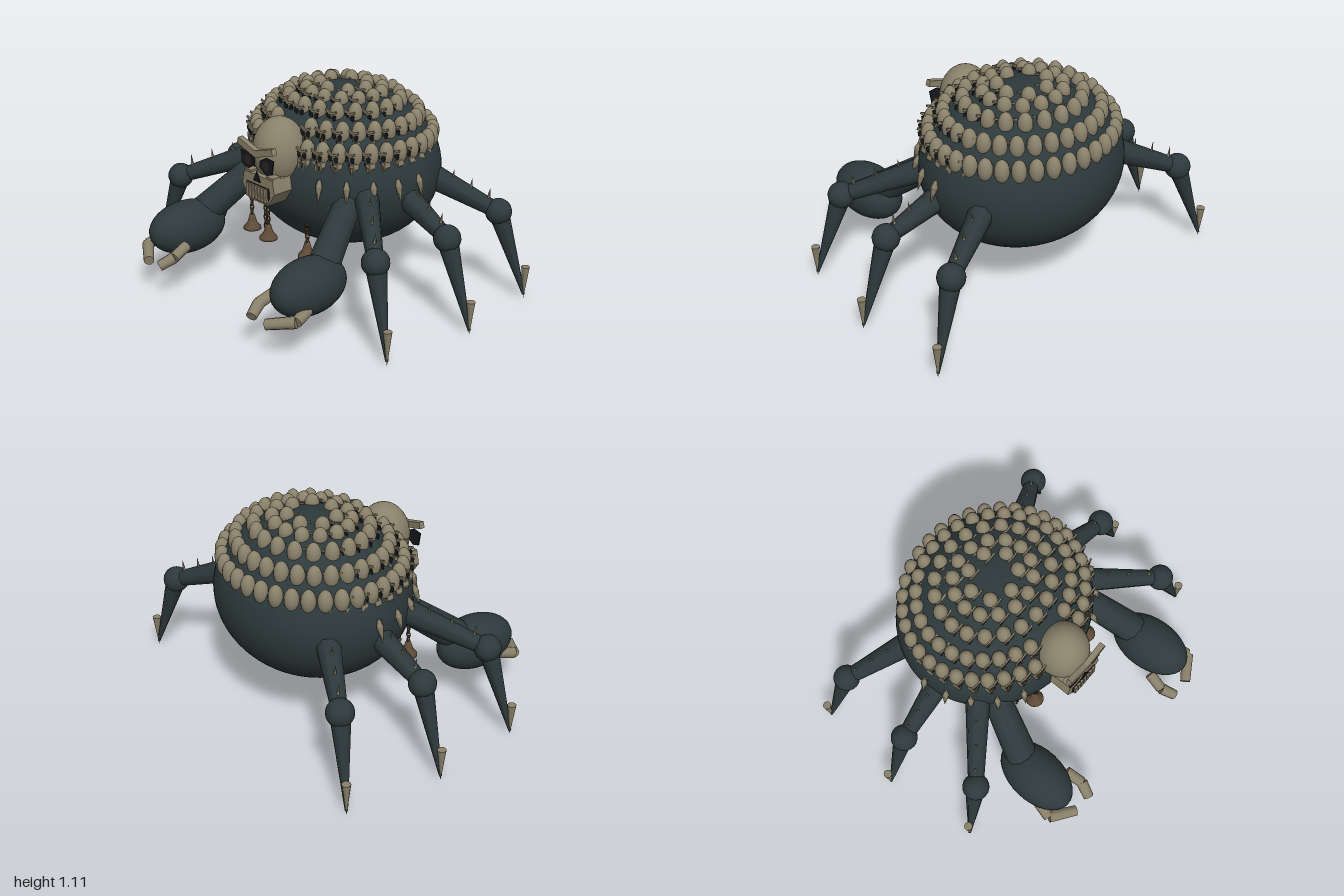
import * as THREE from 'three';

const mat = (name, color, extra = {}) => Object.assign(new THREE.MeshStandardMaterial({ color, ...extra }), { name });
const hide = mat('darkHide', 0x2d393b);
const hideFlat = hide;
const bone = mat('bone', 0x8a816a);
const socket = mat('socketBlack', 0x17181a, { side: THREE.DoubleSide });
const ember = mat('eyeBrown', 0x2e2322, { side: THREE.DoubleSide });
const bronze = mat('bronze', 0x5f4c38);

const V = (x, y, z) => new THREE.Vector3(x, y, z);
const UP = V(0, 1, 0);

function add(parent, name, geo, material, x = 0, y = 0, z = 0) {
  const m = new THREE.Mesh(geo, material);
  m.name = name;
  m.position.set(x, y, z);
  parent.add(m);
  return m;
}

// Tapered rod from a (radius ra) to b (radius rb)
function rod(parent, name, a, b, ra, rb, material, sides = 10) {
  const d = b.clone().sub(a);
  const m = add(parent, name, new THREE.CylinderGeometry(rb, ra, d.length(), sides), material);
  m.position.copy(a).addScaledVector(d, 0.5);
  m.quaternion.setFromUnitVectors(UP, d.normalize());
  return m;
}

function ellipsoid(rx, ry, rz, w = 32, h = 20) {
  return new THREE.SphereGeometry(1, w, h).scale(rx, ry, rz);
}

function plate(points, depth) {
  const s = new THREE.Shape(points.map(([x, y]) => new THREE.Vector2(x, y)));
  return new THREE.ExtrudeGeometry(s, { depth, bevelEnabled: false });
}

// Shared skull pieces
const craniumBig = ellipsoid(0.14, 0.18, 0.14, 32, 22);
const craniumSmall = ellipsoid(0.14, 0.18, 0.14, 14, 10);
const jawGeo = plate([[-0.11, -0.1], [-0.125, -0.17], [-0.075, -0.245], [0.075, -0.245], [0.125, -0.17], [0.11, -0.1]], 0.13);
const mouthGeo = plate([[-0.085, -0.15], [-0.09, -0.2], [-0.07, -0.235], [0.07, -0.235], [0.09, -0.2], [0.085, -0.15]], 0.006);
const noseGeo = plate([[-0.027, -0.13], [0.027, -0.13], [0, -0.075]], 0.006);
const toothGeo = new THREE.BoxGeometry(0.019, 0.075, 0.02);
const eyeGeo = plate([[-0.058, 0.03], [-0.045, -0.045], [0, -0.06], [0.048, -0.03], [0.05, 0.005], [0, 0.035]], 0.006);
const pupilGeo = new THREE.CircleGeometry(0.027, 10);
const browGeo = new THREE.BoxGeometry(0.145, 0.035, 0.03);
const cheekGeo = new THREE.BoxGeometry(0.05, 0.05, 0.05);

function skull(name, big) {
  const g = new THREE.Group();
  g.name = name;
  add(g, 'cranium', big ? craniumBig : craniumSmall, bone);
  add(g, 'jaw', jawGeo, bone, 0, 0, 0.015);
  add(g, 'mouth', mouthGeo, socket, 0, 0, 0.144);
  add(g, 'nose', noseGeo, socket, 0, 0, 0.15);
  const teeth = big ? 7 : 4;
  for (let i = 0; i < teeth; i++) {
    const t = add(g, 'tooth', toothGeo, bone, (i / (teeth - 1) - 0.5) * 0.14, -0.19, 0.15);
    if (!big) t.scale.x = 1.3;
  }
  for (const s of [-1, 1]) {
    const eye = add(g, 'eyeSocket', eyeGeo, socket, s * 0.07, -0.02, 0.145);
    eye.scale.x = -s;
    if (big) add(g, 'pupil', pupilGeo, ember, s * 0.07, -0.03, 0.153);
    add(g, 'brow', browGeo, bone, s * 0.064, 0.04, 0.15).rotation.z = s * 0.3;
    add(g, 'cheek', cheekGeo, bone, s * 0.085, -0.115, 0.115);
  }
  return g;
}

const C = V(0, 0.645, -0.25), R = V(0.55, 0.43, 0.495);

// Point on the body surface at height y and angle a (0 = front)
function onBody(y, a, grow = 0) {
  const k = Math.sqrt(Math.max(0, 1 - ((y - C.y) / R.y) ** 2));
  return V(Math.sin(a) * (R.x * k + grow), y, C.z + Math.cos(a) * (R.z * k + grow));
}

function addLeg(root, side, hip, knee, foot) {
  const g = new THREE.Group();
  g.name = side > 0 ? 'leftLeg' : 'rightLeg';
  const [h, k, f] = [hip, knee, foot].map(([x, y, z]) => V(side * x, y, z));
  rod(g, 'thigh', h, k, 0.068, 0.04, hideFlat, 8);
  add(g, 'knee', ellipsoid(0.07, 0.07, 0.07, 20, 14), hide, k.x, k.y, k.z);
  rod(g, 'shin', k, f.clone().setY(0.02), 0.055, 0.008, hideFlat, 8);
  add(g, 'footClaw', new THREE.CylinderGeometry(0.023, 0.001, 0.18, 10), bone, f.x, 0.09, f.z);
  // Small spikes along the thigh
  for (const t of [0.35, 0.6, 0.85]) {
    const p = h.clone().lerp(k, t);
    rod(g, 'thighSpike', p.clone().setY(p.y + 0.03), V(p.x + side * 0.01, p.y + 0.1, p.z), 0.011, 0.001, bone, 5);
  }
  root.add(g);
}

function addClawArm(root, s) {
  const g = new THREE.Group();
  g.name = s > 0 ? 'leftClawArm' : 'rightClawArm';
  rod(g, 'upperArm', V(s * 0.32, 0.66, -0.03), V(s * 0.48, 0.35, 0.36), 0.07, 0.085, hideFlat, 10);
  const fist = add(g, 'fist', ellipsoid(0.14, 0.143, 0.228), hide, s * 0.485, 0.303, 0.447);
  fist.rotation.y = s * 0.06;
  // Bone fingers, two joints each
  const fingers = [
    [[0.58, 0.24, 0.54], [0.6, 0.215, 0.63], [0.475, 0.185, 0.715]],
    [[0.36, 0.26, 0.55], [0.345, 0.225, 0.645], [0.375, 0.19, 0.72]],
  ];
  for (const pts of fingers) {
    const [a, b, c] = pts.map(([x, y, z]) => V(s * x, y, z));
    rod(g, 'fingerBase', a, b, 0.03, 0.03, bone, 9);
    rod(g, 'fingerTip', b, c, 0.032, 0.028, bone, 9);
  }
  root.add(g);
}

const linkGeo = new THREE.TorusGeometry(0.013, 0.0045, 5, 10).scale(0.8, 1.35, 1);
const bellProfile = [[0, 0.085], [0.014, 0.083], [0.02, 0.06], [0.028, 0.035], [0.048, 0.012], [0.05, 0], [0.04, 0], [0.02, 0.03], [0, 0.04]];
const bellGeo = new THREE.LatheGeometry(bellProfile.map(([x, y]) => new THREE.Vector2(x, y)).reverse(), 14);

function addChain(root, x, z, top, bottom, bell) {
  const g = new THREE.Group();
  g.name = bell ? 'bellChain' : 'chain';
  let i = 0;
  for (let y = top; y > bottom; y -= 0.026) add(g, 'link', linkGeo, bronze, x, y, z).rotation.y = (i++ % 2) * Math.PI / 2 + 0.4;
  if (bell) {
    add(g, 'bell', bellGeo, bronze, x, bottom - 0.085, z);
    add(g, 'clapper', new THREE.SphereGeometry(0.014, 8, 6), bronze, x, bottom - 0.085, z);
  }
  root.add(g);
}

export function createModel() {
  const root = new THREE.Group();
  root.name = 'skullSpider';
  add(root, 'body', ellipsoid(R.x, R.y, R.z, 56, 36), hide, C.x, C.y, C.z);

  // Rings of little skulls on the back, all facing forward
  const rings = [[0.84, 36], [0.93, 30], [1.0, 20], [1.042, 14], [1.062, 7]];
  rings.forEach(([y, n], r) => {
    for (let i = 0; i < n; i++) {
      const a = ((i + (r % 2) * 0.5) / n) * Math.PI * 2;
      const p = onBody(y, a);
      if (Math.abs(p.x) < 0.1 && p.z > 0.1) continue;
      const s = skull('smallSkull', false);
      s.position.copy(p);
      s.scale.set(0.27, r > 2 ? 0.28 : 0.35, 0.28);
      root.add(s);
    }
  });

  // Large head skull
  const head = skull('headSkull', true);
  head.position.set(0, 0.81, 0.205);
  root.add(head);

  // Fangs hanging below the skull rings
  for (let i = -6; i <= 6; i++) {
    const a = i * 0.26;
    if (Math.abs(i) < 2) continue;
    const p = onBody(0.72, a, 0.005), q = onBody(0.6, a, 0.035);
    rod(root, 'fang', p, p.clone().lerp(q, 0.3), 0.008, 0.019, bone, 5);
    rod(root, 'fang', p.clone().lerp(q, 0.3), q, 0.019, 0.001, bone, 5);
  }

  for (const s of [-1, 1]) {
    addLeg(root, s, [0.4, 0.64, -0.02], [0.765, 0.47, 0.275], [0.91, 0, 0.332]);
    addLeg(root, s, [0.46, 0.61, -0.215], [0.81, 0.47, -0.182], [0.977, 0, -0.188]);
    addLeg(root, s, [0.42, 0.63, -0.46], [0.765, 0.47, -0.635], [0.91, 0, -0.706]);
    addClawArm(root, s);
    addChain(root, s * 0.155, 0.155, 0.47, 0.335, true);
    addChain(root, s * 0.24, 0.1, 0.49, 0.26, false);
    addChain(root, s * 0.32, 0.13, 0.48, 0.335, true);
  }
  return root;
}
